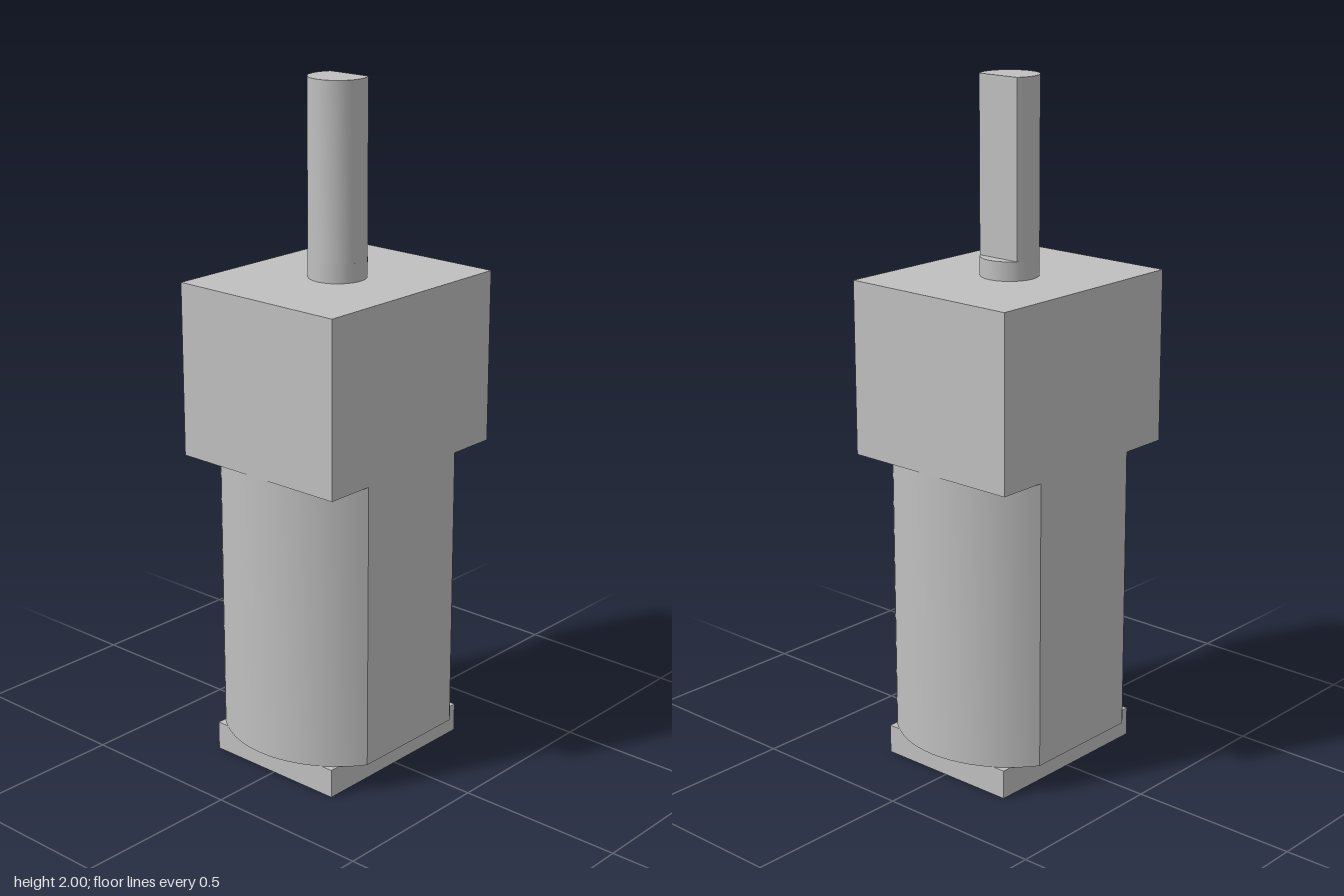
import * as THREE from 'three';
import { toCreasedNormals } from 'three/addons/utils/BufferGeometryUtils.js';

export function createModel() {
  const model = new THREE.Group();
  model.name = 'gearMotor';
  const metal = new THREE.MeshStandardMaterial({ color: 0xc0c0c0 });
  metal.name = 'grey metal';

  const add = (name, geometry) => {
    const mesh = new THREE.Mesh(geometry, metal);
    mesh.name = name;
    model.add(mesh);
  };
  // Box between two heights
  const block = (name, width, depth, y0, y1) =>
    add(name, new THREE.BoxGeometry(width, y1 - y0, depth).translate(0, (y0 + y1) / 2, 0));
  // Plan outline raised between two heights, smooth on its arcs
  const prism = (name, shape, curveSegments, y0, y1) => {
    const geometry = new THREE.ExtrudeGeometry(shape, { depth: y1 - y0, bevelEnabled: false, curveSegments });
    geometry.rotateX(-Math.PI / 2).translate(0, y0, 0);
    add(name, toCreasedNormals(geometry, 0.45));
  };

  // End cap and gearbox
  block('endCap', 0.56, 0.45, 0, 0.086);
  block('gearbox', 0.674, 0.56, 0.933, 1.44);

  // Motor can: a cylinder cut flat at front and back
  const canRadius = 0.337;
  const canAngle = Math.asin(0.28 / canRadius);
  const can = new THREE.Shape();
  can.absarc(0, 0, canRadius, -canAngle, canAngle, false);
  can.absarc(0, 0, canRadius, Math.PI - canAngle, Math.PI + canAngle, false);
  prism('motorCan', can, 10, 0.086, 0.933);

  // Output shaft: round collar below, D-shaped above with the flat facing +x
  const shaftRadius = 0.084;
  const flatAngle = Math.acos(0.048 / shaftRadius);
  add('shaftCollar', new THREE.CylinderGeometry(shaftRadius, shaftRadius, 0.055, 24).translate(0, 1.4675, 0));
  const dShaft = new THREE.Shape();
  dShaft.absarc(0, 0, shaftRadius, flatAngle, 2 * Math.PI - flatAngle, false);
  prism('outputShaft', dShaft, 9, 1.495, 2);

  return model;
}
